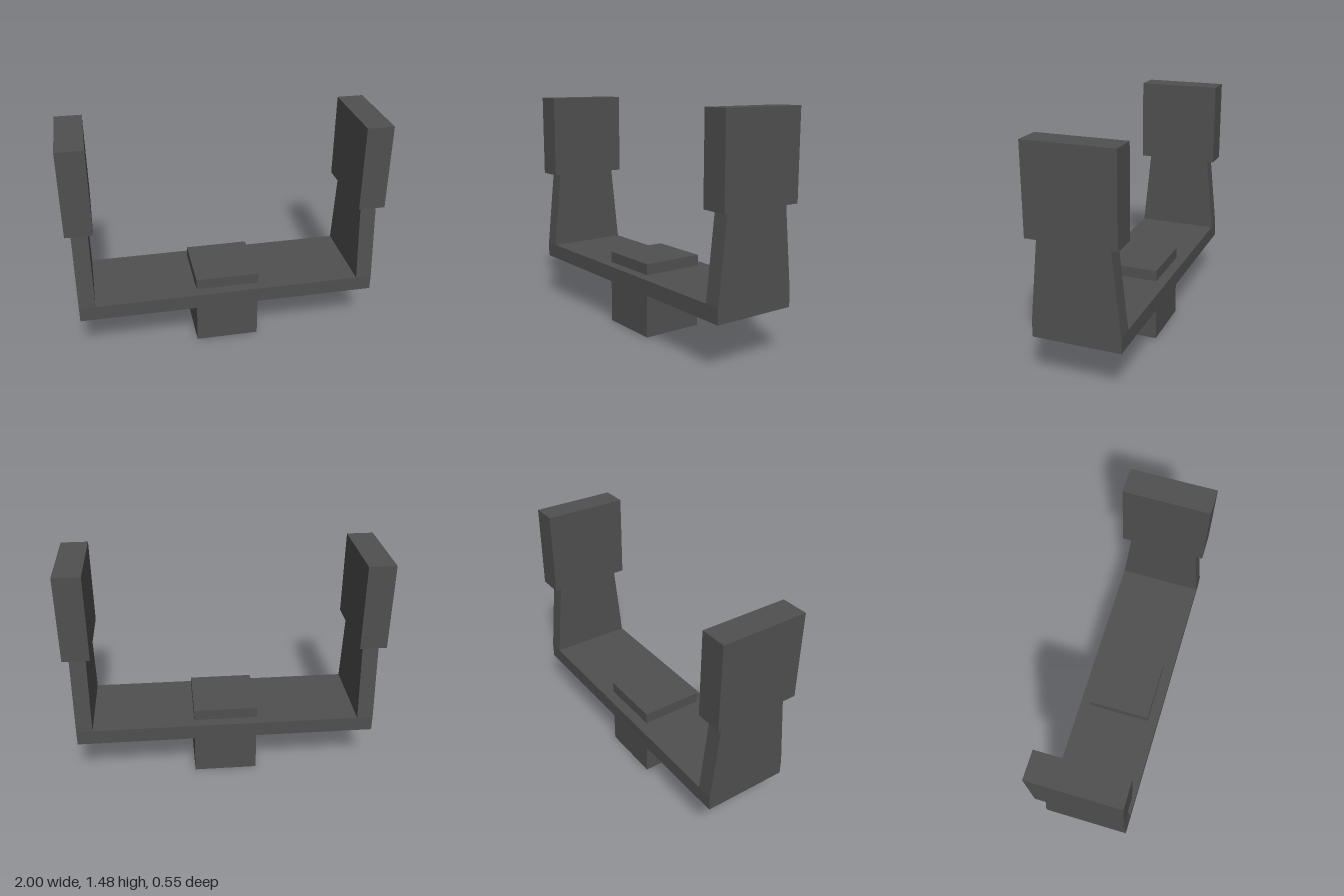
import * as THREE from 'three';

const charcoal = new THREE.MeshStandardMaterial({ color: 0x505050 });
charcoal.name = 'charcoal';

function addBox(parent, name, width, bottom, top, depth, x = 0) {
  const mesh = new THREE.Mesh(new THREE.BoxGeometry(width, top - bottom, depth), charcoal);
  mesh.name = name;
  mesh.position.set(x, (bottom + top) / 2, 0);
  parent.add(mesh);
}

export function createModel() {
  const model = new THREE.Group();
  model.name = 'forkedBracket';

  // Square post passing through the crossbar
  addBox(model, 'post', 0.412, 0, 0.483, 0.412);
  addBox(model, 'crossbar', 1.93, 0.314, 0.412, 0.55);

  // Arm outline seen from the side, tapering upward
  const outline = new THREE.Shape([
    new THREE.Vector2(-0.275, 0.412),
    new THREE.Vector2(0.275, 0.412),
    new THREE.Vector2(0.22, 0.934),
    new THREE.Vector2(-0.22, 0.934),
  ]);
  const thickness = 0.103;
  const armGeometry = new THREE.ExtrudeGeometry(outline, { depth: thickness, bevelEnabled: false })
    .translate(0, 0, -thickness / 2)
    .rotateY(Math.PI / 2);

  // Mirrored arms, each carrying a thick end block
  for (const [side, sign] of [['left', 1], ['right', -1]]) {
    const arm = new THREE.Mesh(armGeometry, charcoal);
    arm.name = side + 'Arm';
    arm.position.x = sign * (0.965 - thickness / 2);
    model.add(arm);
    addBox(model, side + 'EndBlock', 0.17, 0.934, 1.483, 0.55, sign * 0.915);
  }

  return model;
}
